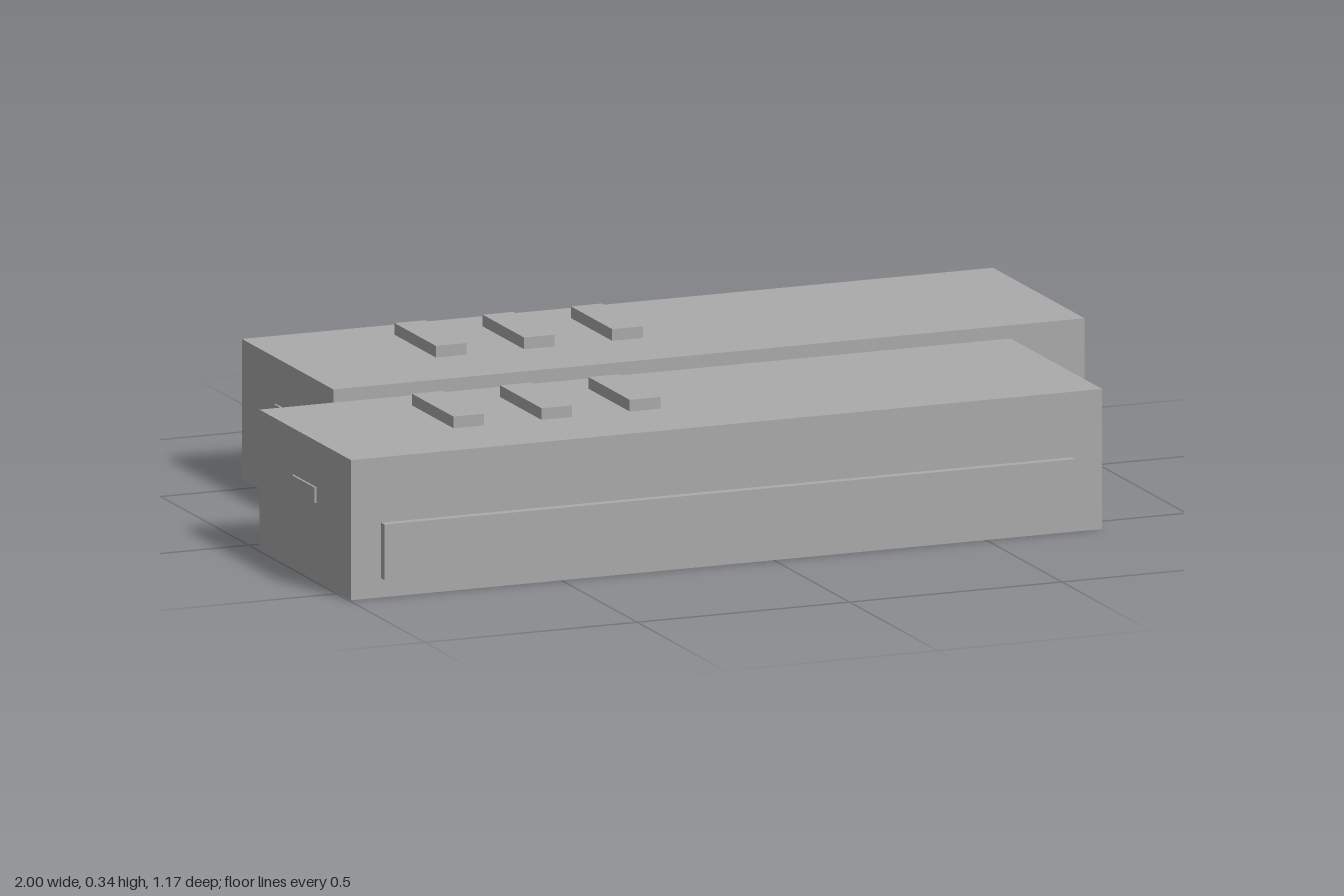
import * as THREE from 'three';

const grey = new THREE.MeshStandardMaterial({ color: 0xaaaaaa });
grey.name = 'plain grey';

// Box given by its min and max corners
function box(name, [x0, y0, z0], [x1, y1, z1]) {
  const mesh = new THREE.Mesh(new THREE.BoxGeometry(x1 - x0, y1 - y0, z1 - z0), grey);
  mesh.position.set((x0 + x1) / 2, (y0 + y1) / 2, (z0 + z1) / 2);
  mesh.name = name;
  return mesh;
}

// One long block, centred on its own x and z
function createBlock(name) {
  const W = 0.884, H = 0.313, D = 0.26;
  const block = new THREE.Group();
  block.name = name;
  block.add(box('body', [-W, 0, -D], [W, H, D]));

  // Raised strip along the front
  block.add(box('frontStrip', [-0.813, 0.043, D], [0.813, 0.167, D + 0.02]));

  // Three raised bars on top
  for (let i = 0; i < 3; i++) {
    const x = -0.562 + i * 0.2075;
    block.add(box('topBar', [x, H, -0.17], [x + 0.072, 0.339, 0.065]));
  }

  // Small handle plate on each end
  for (const s of [-1, 1]) {
    const xs = [s * W, s * (W + 0.005)].sort((a, b) => a - b);
    block.add(box('endHandle', [xs[0], 0.175, -0.065], [xs[1], 0.21, 0.065]));
  }
  return block;
}

export function createModel() {
  const model = new THREE.Group();
  model.name = 'twoBlocks';
  const front = createBlock('frontBlock');
  front.position.set(-0.111, 0, 0.309);
  const back = createBlock('backBlock');
  back.position.set(0.111, 0, -0.326);
  model.add(front, back);
  return model;
}
